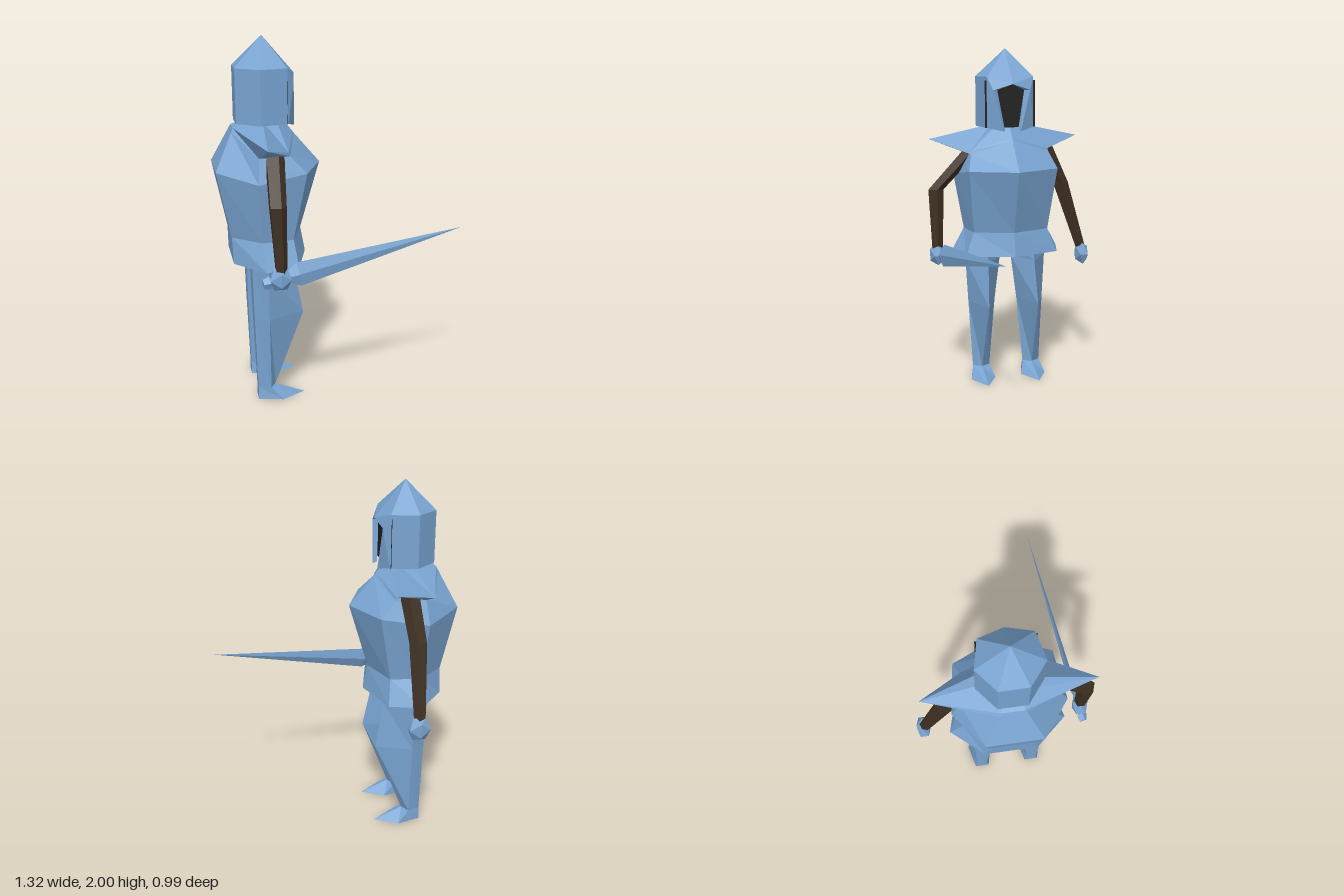
import * as THREE from 'three';

const CZ = 0.025; // mirror plane of the figure
const mat = (color) => new THREE.MeshStandardMaterial({ color, flatShading: true, side: THREE.DoubleSide });

// Mesh from a list of triangle corners
function triMesh(corners, material, name) {
  const g = new THREE.BufferGeometry();
  g.setAttribute('position', new THREE.Float32BufferAttribute(corners.flat(), 3));
  g.computeVertexNormals();
  const m = new THREE.Mesh(g, material);
  m.name = name;
  return m;
}

// Skin between closed rings, listed from top to bottom; skip leaves sides open
function loft(rings, material, name, skip = []) {
  const t = [];
  const n = rings[0].length;
  for (let r = 0; r < rings.length - 1; r++) {
    const a = rings[r], b = rings[r + 1];
    for (let i = 0; i < n; i++) {
      if (skip.includes(i)) continue;
      const j = (i + 1) % n;
      t.push(a[i], a[j], b[i], a[j], b[j], b[i]);
    }
  }
  return triMesh(t, material, name);
}

// Flat cap, facing down unless up is true
function cap(ring, material, name, up = false) {
  const t = [];
  for (let i = 1; i < ring.length - 1; i++) {
    t.push(ring[0], ...(up ? [ring[i + 1], ring[i]] : [ring[i], ring[i + 1]]));
  }
  return triMesh(t, material, name);
}

// Seven-sided ring from its front point and three side points [x, y, halfWidth]
function ring7(front, ...side) {
  const p = ([x, y, w], s) => [x, y, CZ + s * w];
  return [p([...front, 0], 1), ...side.map((v) => p(v, 1)), ...side.slice().reverse().map((v) => p(v, -1))];
}

// Regular horizontal ring
const circle = (x, y, z, r, n) => Array.from({ length: n }, (_, i) => {
  const a = (i / n) * Math.PI * 2;
  return [x + r * Math.cos(a), y, z + r * Math.sin(a)];
});

export function createModel() {
  const knight = new THREE.Group();
  knight.name = 'knight';
  const steel = mat(0x78a3d0), cloth = mat(0x3f3023), dark = mat(0x202020);

  // Torso: neck, pointed collar, chest, waist and skirt
  const waist = ring7([-0.195, 0.94], [-0.27, 0.94, 0.225], [-0.44, 0.94, 0.25], [-0.59, 0.94, 0.12]);
  const hem = ring7([-0.17, 0.8], [-0.25, 0.8, 0.28], [-0.43, 0.8, 0.33], [-0.585, 0.8, 0.15]);
  knight.add(loft([
    circle(-0.385, 1.56, CZ, 0.09, 7),
    ring7([-0.235, 1.49], [-0.29, 1.42, 0.23], [-0.43, 1.48, 0.455], [-0.56, 1.525, 0.06]),
    ring7([-0.225, 1.475], [-0.285, 1.4, 0.235], [-0.45, 1.4, 0.255], [-0.57, 1.505, 0.07]),
    ring7([-0.085, 1.31], [-0.2, 1.31, 0.265], [-0.46, 1.27, 0.305], [-0.665, 1.31, 0.152]),
    waist,
  ], steel, 'torso'));
  knight.add(loft([waist, hem], steel, 'skirt'));
  knight.add(cap(hem, dark, 'skirtUnderside'));

  // Helmet: open-fronted shell under a peaked crown
  const hx = -0.385, hr = 0.176;
  const rim = circle(hx, 1.84, CZ, hr, 7);
  const base = circle(hx, 1.55, CZ, hr, 7);
  const peak = [-0.22, 1.8, CZ];
  rim[0] = peak;
  const apex = [-0.39, 2, CZ];
  const helmet = new THREE.Group();
  helmet.name = 'helmet';
  helmet.add(loft([rim, base], steel, 'helmetShell', [0, 6]));
  helmet.add(loft([Array(7).fill(apex), rim], steel, 'helmetCrown'));
  for (const s of [1, -1]) {
    const at = (x, y, w) => [x, y, CZ + s * w];
    const top = rim[s > 0 ? 1 : 6], low = base[s > 0 ? 1 : 6];
    const a = at(-0.24, 1.765, 0.11), b = at(-0.23, 1.53, 0.05);
    const ai = at(-0.265, 1.765, 0.08), bi = at(-0.25, 1.54, 0.04);
    const t = [peak, top, a, peak, a, ai, top, low, a, low, b, a, a, b, ai, b, bi, ai];
    if (s < 0) for (let i = 0; i < t.length; i += 3) [t[i], t[i + 1]] = [t[i + 1], t[i]];
    helmet.add(triMesh(t, steel, 'cheekPlate'));
  }
  const f = (y, w) => [-0.28, y, CZ + w];
  helmet.add(triMesh([f(1.82, -0.15), f(1.82, 0.15), f(1.55, -0.15),
    f(1.82, 0.15), f(1.55, 0.15), f(1.55, -0.15)], dark, 'faceShadow'));
  helmet.add(cap(base.slice(1), dark, 'helmetUnderside'));
  knight.add(helmet);

  // Legs and feet: five-sided rings [y, frontX, sideX, backX, centreWidth, halfWidth]
  const legRing = ([y, front, mid, back, c, w], s) => {
    const p = [[front, 0], [mid, w], [back, w * 0.55], [back, -w * 0.55], [mid, -w]];
    return p.map(([x, z]) => [x, y, CZ + s * c + z]);
  };
  for (const s of [1, -1]) {
    const ankle = legRing([0.068, -0.375, -0.405, -0.475, 0.16, 0.052], s);
    const sole = legRing([0, -0.21, -0.34, -0.475, 0.16, 0.075], s);
    const hip = legRing([0.86, -0.28, -0.41, -0.495, 0.142, 0.118], s);
    knight.add(loft([
      hip,
      legRing([0.75, -0.26, -0.41, -0.493, 0.142, 0.107], s),
      legRing([0.49, -0.21, -0.41, -0.487, 0.152, 0.083], s),
      ankle,
    ], steel, 'leg'));
    knight.add(loft([ankle, sole], steel, 'foot'));
    knight.add(cap(sole, steel, 'sole'));
    knight.add(cap(hip, steel, 'hipTop', true));
  }

  // Arms, from shoulder to wrist [x, y, z, radius]
  const arms = {
    swordArm: [[-0.365, 1.43, 0.23, 0.055], [-0.385, 1.19, 0.452, 0.048], [-0.37, 0.82, 0.452, 0.032]],
    freeArm: [[-0.365, 1.43, -0.2, 0.055], [-0.385, 1.2, -0.315, 0.05], [-0.37, 0.79, -0.445, 0.032]],
  };
  for (const [name, joints] of Object.entries(arms)) {
    knight.add(loft(joints.map((j) => circle(...j, 5)), cloth, name));
  }

  // Hands
  const hand = (name, p, size) => {
    const m = new THREE.Mesh(new THREE.IcosahedronGeometry(1, 0), steel);
    m.name = name;
    m.position.set(...p);
    m.scale.set(...size);
    knight.add(m);
  };
  hand('swordHand', [-0.375, 0.8, 0.452], [0.066, 0.07, 0.05]);
  hand('freeHand', [-0.365, 0.752, -0.452], [0.068, 0.076, 0.045]);

  // Sword, built upright along y and then aimed forward
  const sword = new THREE.Group();
  sword.name = 'sword';
  const part = (name, top, bottom, from, to, sx, sz, sides) => {
    const m = new THREE.Mesh(new THREE.CylinderGeometry(top, bottom, to - from, sides), steel);
    m.name = name;
    m.position.y = (from + to) / 2;
    m.scale.set(sx, 1, sz);
    sword.add(m);
  };
  part('blade', 0, 1, 0, 0.95, 0.064, 0.018, 4);
  part('guard', 1, 0.4, -0.07, 0, 0.064, 0.022, 4);
  part('grip', 1, 1, -0.17, -0.07, 0.024, 0.02, 5);
  part('pommel', 1, 0.7, -0.195, -0.16, 0.038, 0.03, 5);
  const start = new THREE.Vector3(-0.275, 0.813, 0.432);
  const aim = new THREE.Vector3(0.65, 0.965, 0.302).sub(start).normalize();
  sword.position.copy(start);
  sword.quaternion.setFromUnitVectors(new THREE.Vector3(0, 1, 0), aim);
  knight.add(sword);

  return knight;
}
